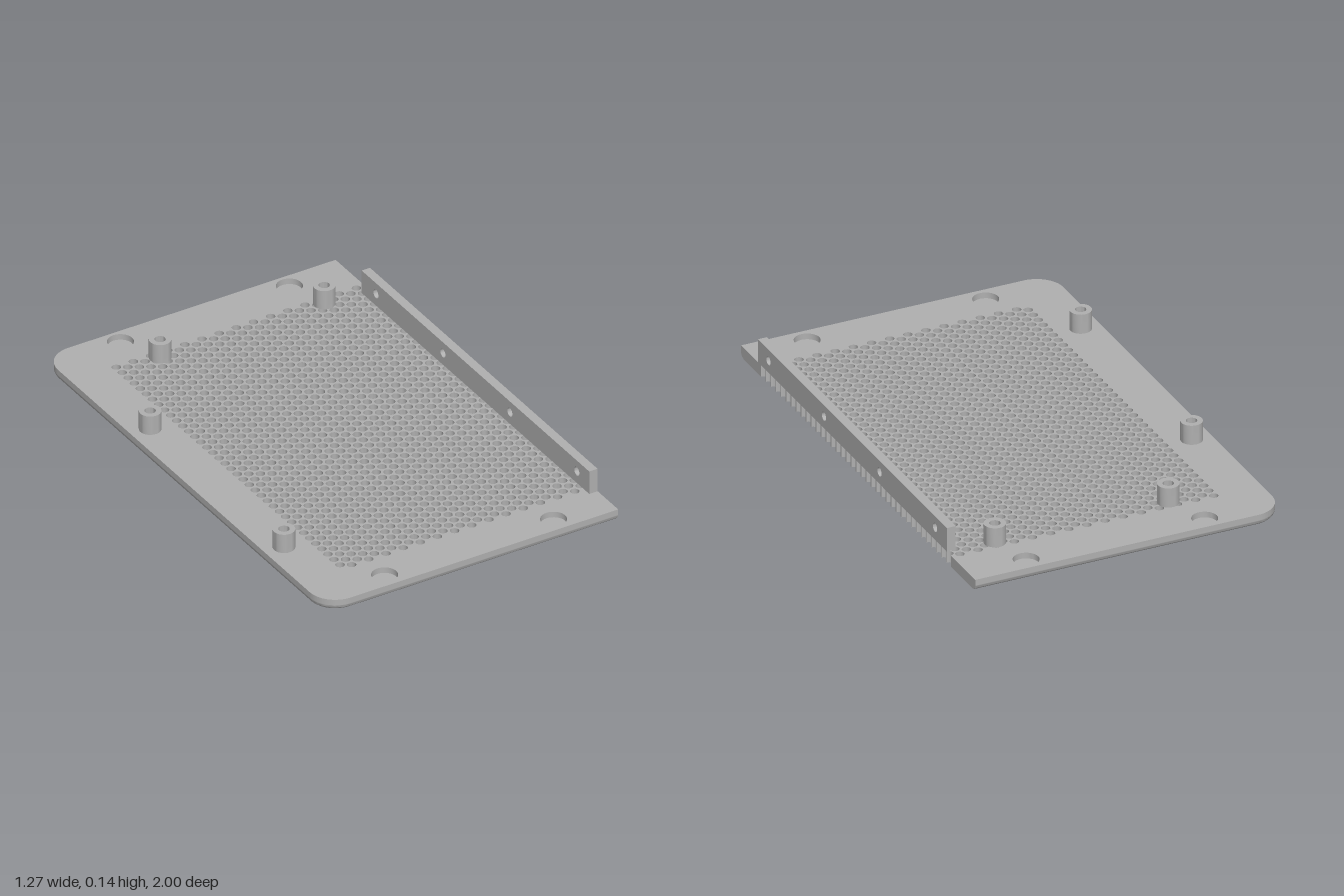
import * as THREE from 'three';
import { toCreasedNormals } from 'three/addons/utils/BufferGeometryUtils.js';

// Plate extents
const L = -0.633, R = 0.633, Z = 1, CORNER = 0.11;
const TOP = 0.047, FILLET = 0.023;
// Perforated field inside the plate, open to the right edge
const FIELD = { left: -0.47, back: -0.82, front: 0.84 };
// Hexagonal hole pattern
const PITCH = 0.0428, STEP = PITCH * Math.sqrt(3) / 2, HOLE = 0.0178;
const COLUMNS = 29, ROWS = 38, X0 = -0.44, Z0 = -0.795;

const circle = (x, y, r) => new THREE.Path().absarc(x, y, r, 0, Math.PI * 2, true);

// Extrude a plan shape (x, z) downwards from the height 'top'
function slab(shape, top, depth, curveSegments, steps = 1) {
  const g = new THREE.ExtrudeGeometry(shape, { depth, steps, curveSegments, bevelEnabled: false });
  return g.rotateX(Math.PI / 2).translate(0, top, 0);
}

// C-shaped border: rounded corners on the left, square on the right
function borderShape() {
  const s = new THREE.Shape();
  s.moveTo(R, -Z);
  s.lineTo(R, FIELD.back);
  s.lineTo(FIELD.left, FIELD.back);
  s.lineTo(FIELD.left, FIELD.front);
  s.lineTo(R, FIELD.front);
  s.lineTo(R, Z);
  s.lineTo(L + CORNER, Z);
  s.absarc(L + CORNER, Z - CORNER, CORNER, Math.PI / 2, Math.PI, false);
  s.lineTo(L, -Z + CORNER);
  s.absarc(L + CORNER, -Z + CORNER, CORNER, Math.PI, Math.PI * 1.5, false);
  s.closePath();
  return s;
}

// Round the lower outer edge by pulling outline points inwards
function filletBottom(g) {
  const p = g.attributes.position;
  for (let i = 0; i < p.count; i++) {
    const x = p.getX(i), y = p.getY(i), z = p.getZ(i);
    const dx = x - THREE.MathUtils.clamp(x, L + CORNER, R);
    const dz = z - THREE.MathUtils.clamp(z, -Z + CORNER, Z - CORNER);
    const len = Math.hypot(dx, dz);
    if (len < 0.01) continue;
    const h = FILLET - y;
    const inset = FILLET - Math.sqrt(Math.max(0, FILLET * FILLET - h * h));
    p.setX(i, x - dx / len * inset);
    p.setZ(i, z - dz / len * inset);
  }
  return g;
}

// Perforated panel with half holes along its right edge
function panelShape() {
  const s = new THREE.Shape();
  s.moveTo(FIELD.left, FIELD.back);
  s.lineTo(R, FIELD.back);
  for (let j = 0; j < ROWS; j++) {
    const z = Z0 + (j + 0.5) * PITCH;
    s.lineTo(R, z - HOLE);
    s.absarc(R, z, HOLE, -Math.PI / 2, Math.PI / 2, true);
  }
  s.lineTo(R, FIELD.front);
  s.lineTo(FIELD.left, FIELD.front);
  s.closePath();
  for (let i = 0; i < COLUMNS; i++) {
    for (let j = 0; j < ROWS; j++) {
      s.holes.push(circle(X0 + i * STEP, Z0 + (j + (i % 2) / 2) * PITCH, HOLE));
    }
  }
  return s;
}

export function createModel() {
  const model = new THREE.Group();
  model.name = 'ventedCover';
  const grey = new THREE.MeshStandardMaterial({ color: 0xb0b0b0 });
  grey.name = 'grey';
  const add = (name, geometry) => {
    const mesh = new THREE.Mesh(toCreasedNormals(geometry, 0.6), grey);
    mesh.name = name;
    model.add(mesh);
    return mesh;
  };

  // Border: filleted lower half, upper half with round pockets
  add('borderLower', filletBottom(slab(borderShape(), FILLET, FILLET, 10, 6)));
  const upper = borderShape();
  for (const x of [-0.335, 0.395]) {
    for (const z of [-0.937, 0.932]) upper.holes.push(circle(x, z, 0.05));
  }
  add('borderUpper', slab(upper, TOP, TOP - FILLET, 16));

  // Perforated vent panel
  add('ventPanel', slab(panelShape(), TOP, TOP, 6));

  // Side flange with four screw holes, drawn in (z, y)
  const flange = new THREE.Shape();
  flange.moveTo(-0.757, TOP);
  flange.lineTo(0.854, TOP);
  flange.lineTo(0.854, 0.145);
  flange.lineTo(-0.757, 0.145);
  flange.closePath();
  for (let i = 0; i < 4; i++) flange.holes.push(circle(-0.656 + i * 0.474, 0.098, 0.018));
  const flangeGeometry = new THREE.ExtrudeGeometry(flange, { depth: 0.036, curveSegments: 10, bevelEnabled: false });
  add('sideFlange', flangeGeometry.rotateY(-Math.PI / 2).translate(R, 0, 0));

  // Screw posts with blind bores
  const profile = [[0, 0], [0.042, 0], [0.042, 0.08], [0.021, 0.08], [0.021, 0.005], [0, 0.005]]
    .map(([r, y]) => new THREE.Vector2(r, y));
  for (const [x, z] of [[-0.267, -0.768], [0.442, -0.768], [-0.553, -0.37], [-0.553, 0.577]]) {
    add('screwPost', new THREE.LatheGeometry(profile, 32)).position.set(x, TOP, z);
  }
  return model;
}
